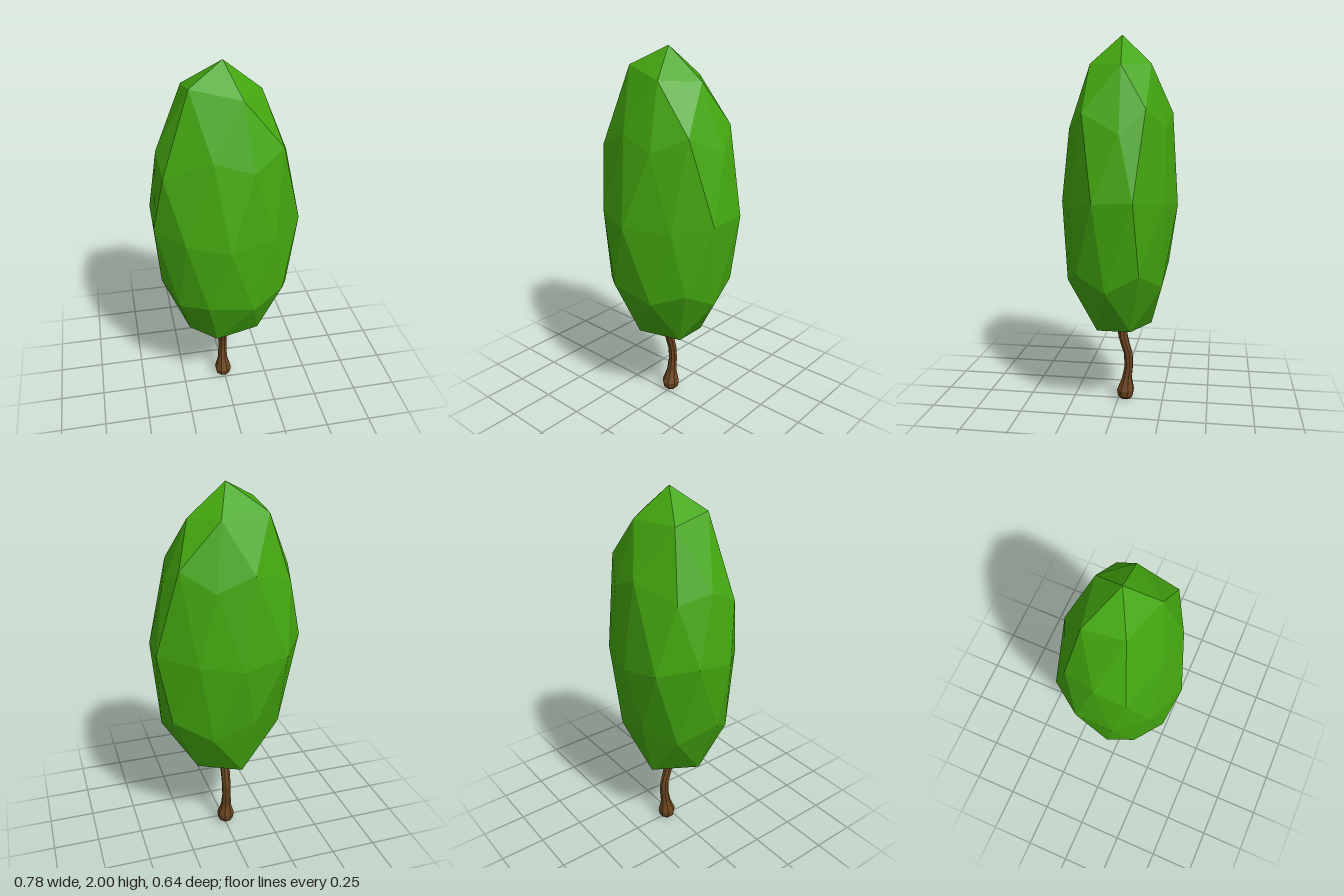
import * as THREE from 'three';

// Build a flat-shaded mesh from a list of triangle corners
function facetedMesh(name, corners, color) {
  const geometry = new THREE.BufferGeometry();
  geometry.setAttribute('position', new THREE.Float32BufferAttribute(corners.flat(), 3));
  geometry.computeVertexNormals();
  const mesh = new THREE.Mesh(geometry, new THREE.MeshStandardMaterial({ color, flatShading: true }));
  mesh.name = name;
  return mesh;
}

// Leafy crown: an irregular, stretched icosphere made of rings from top to bottom
function createCrown() {
  const top = [-0.01, 2, -0.02];
  const cap = [[0.06, 1.85, 0.14], [-0.19, 1.9, 0.075], [-0.2, 1.86, -0.13], [0.06, 1.85, -0.18], [0.19, 1.84, -0.04]];
  const shoulder = [
    [0.1, 1.52, 0.245], [-0.1, 1.58, 0.22], [-0.335, 1.48, 0.135], [-0.35, 1.56, -0.02], [-0.3, 1.52, -0.19],
    [-0.08, 1.6, -0.285], [0.11, 1.52, -0.265], [0.27, 1.62, -0.175], [0.33, 1.5, -0.05], [0.265, 1.6, 0.148],
  ];
  const waist = [
    [-0.03, 1.12, 0.318], [-0.245, 1.14, 0.237], [-0.39, 1.17, 0.08], [-0.39, 1.2, -0.118], [-0.26, 1.16, -0.292],
    [-0.025, 1.11, -0.32], [0.2, 1.14, -0.265], [0.388, 1.17, -0.125], [0.38, 1.16, 0.08], [0.22, 1.12, 0.225],
  ];
  const hip = [
    [0.11, 0.71, 0.26], [-0.14, 0.76, 0.275], [-0.28, 0.72, 0.16], [-0.36, 0.81, 0.03], [-0.27, 0.71, -0.16],
    [-0.1, 0.78, -0.27], [0.12, 0.69, -0.25], [0.32, 0.79, -0.15], [0.345, 0.7, 0.02], [0.28, 0.78, 0.18],
  ];
  const base = [[-0.075, 0.445, 0.15], [-0.215, 0.455, 0.03], [-0.06, 0.435, -0.18], [0.17, 0.45, -0.09], [0.17, 0.45, 0.09]];
  const bottom = [-0.01, 0.4, -0.03];

  const at = (ring, i) => ring[(i + ring.length) % ring.length];
  const corners = [];
  for (let i = 0; i < 5; i++) {
    const j = 2 * i;
    corners.push(
      // top fan and cap
      top, at(cap, i + 1), cap[i],
      cap[i], at(shoulder, j + 1), shoulder[j],
      cap[i], shoulder[j], at(shoulder, j - 1),
      cap[i], at(cap, i + 1), at(shoulder, j + 1),
      // underside and bottom fan
      at(hip, j + 1), at(hip, j + 2), base[i],
      hip[j], at(hip, j + 1), base[i],
      hip[j], base[i], at(base, i - 1),
      at(base, i - 1), base[i], bottom,
    );
  }
  // zigzag bands around the waist
  for (let j = 0; j < 10; j++) {
    corners.push(
      shoulder[j], at(shoulder, j + 1), waist[j],
      shoulder[j], waist[j], at(waist, j - 1),
      at(waist, j - 1), waist[j], hip[j],
      waist[j], at(hip, j + 1), hip[j],
    );
  }
  return facetedMesh('crown', corners, 0x43a70f);
}

// Bent trunk with a swollen foot, lofted through eight-sided sections
function createTrunk() {
  const sides = 8;
  const sections = [ // height, z offset, radius
    [0, -0.04, 0.028], [0.015, -0.04, 0.043], [0.05, -0.04, 0.05], [0.12, -0.048, 0.029], [0.19, -0.058, 0.025],
    [0.26, -0.056, 0.025], [0.32, -0.038, 0.026], [0.37, -0.025, 0.027], [0.45, -0.022, 0.027],
  ];
  const rings = sections.map(([y, z, r]) => Array.from({ length: sides }, (_, i) => {
    const a = ((i + 0.5) / sides) * Math.PI * 2;
    return [-0.008 + r * Math.sin(a), y, z + r * Math.cos(a)];
  }));
  const corners = [];
  for (let i = 0; i < sides; i++) {
    const n = (i + 1) % sides;
    for (let k = 0; k < rings.length - 1; k++) {
      const lower = rings[k], upper = rings[k + 1];
      corners.push(lower[i], lower[n], upper[n], lower[i], upper[n], upper[i]);
    }
    corners.push([-0.008, 0, -0.04], rings[0][n], rings[0][i]);
  }
  return facetedMesh('trunk', corners, 0x6b4520);
}

export function createModel() {
  const tree = new THREE.Group();
  tree.name = 'tree';
  tree.add(createCrown(), createTrunk());
  return tree;
}
